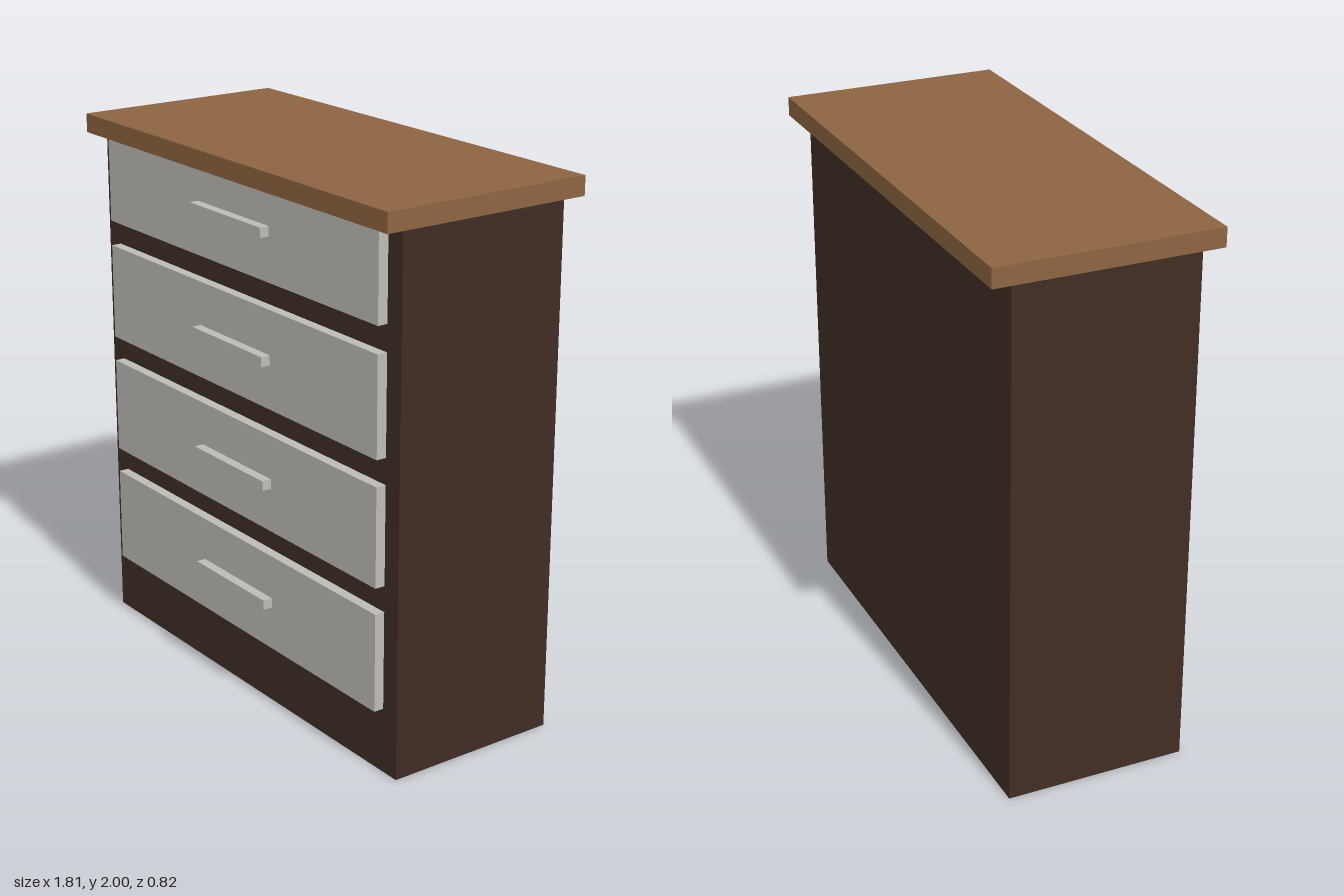
import * as THREE from 'three';

const material = (color) => new THREE.MeshStandardMaterial({ color });

// Box given by its centre x = 0, its bottom and top y, and its back and front z
function box(name, width, y0, y1, z0, z1, mat) {
  const mesh = new THREE.Mesh(new THREE.BoxGeometry(width, y1 - y0, z1 - z0), mat);
  mesh.position.set(0, (y0 + y1) / 2, (z0 + z1) / 2);
  mesh.name = name;
  return mesh;
}

export function createModel() {
  const group = new THREE.Group();
  group.name = 'chestOfDrawers';

  const darkWood = material(0x402d24);
  const lightWood = material(0x8d6540);
  const paint = material(0xbdbbb5);

  // Carcass and overhanging worktop
  group.add(box('carcass', 1.78, 0, 1.93, -0.335, 0.335, darkWood));
  group.add(box('top', 1.814, 1.93, 2, -0.41, 0.41, lightWood));

  // Four evenly spaced drawers; the uppermost front runs up into the top
  const pitch = 0.455;
  for (let i = 0; i < 4; i++) {
    const centre = 0.42 + i * pitch;
    const drawer = new THREE.Group();
    drawer.name = `drawer${i + 1}`;
    drawer.add(box('drawerFront', 1.632, centre - 0.18, centre + 0.18, 0.335, 0.373, paint));
    drawer.add(box('handle', 0.43, centre - 0.018, centre + 0.018, 0.373, 0.409, paint));
    group.add(drawer);
  }

  return group;
}
